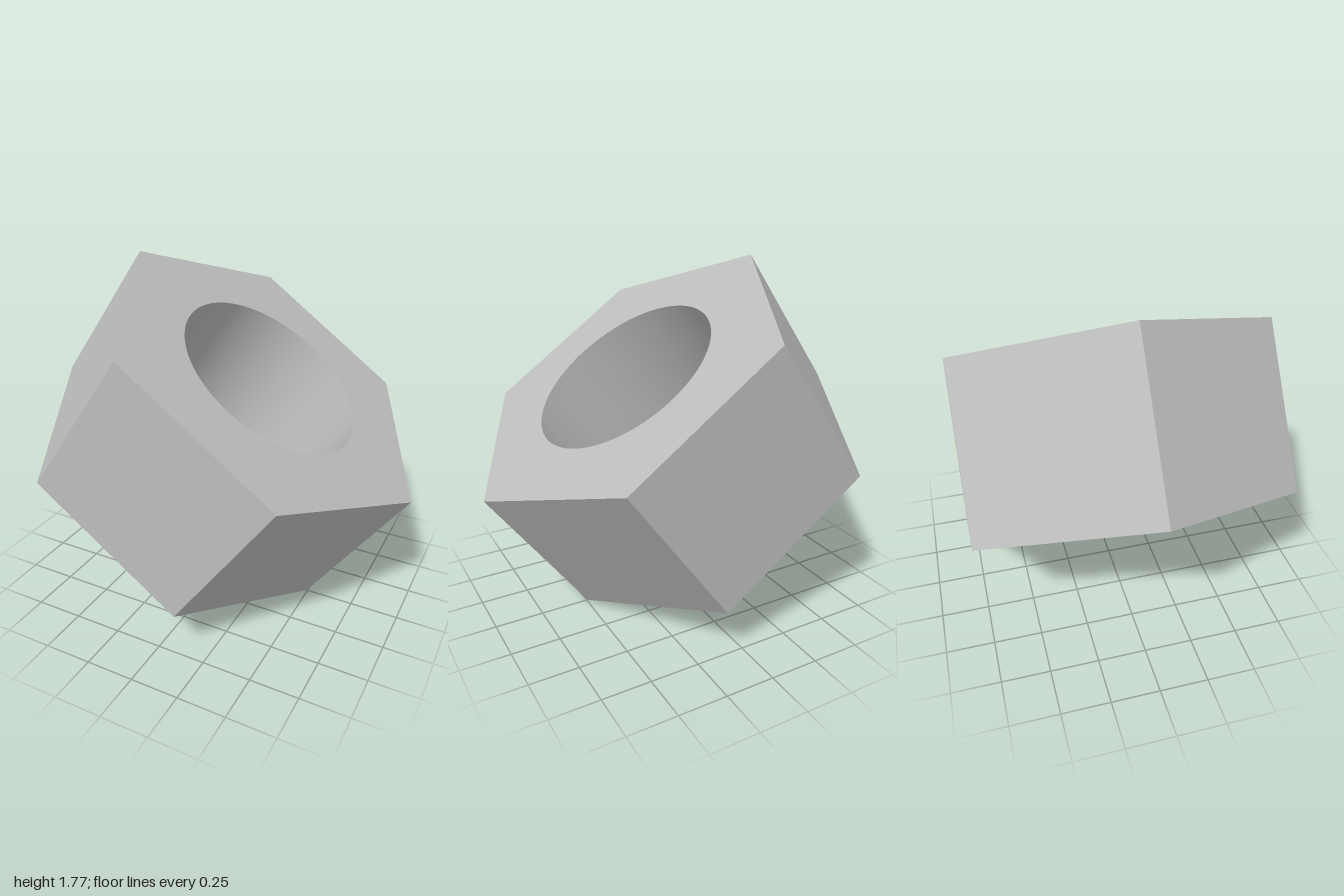
import * as THREE from 'three';
import { toCreasedNormals } from 'three/addons/utils/BufferGeometryUtils.js';

const RADIUS = 0.918; // centre to corner
const BORE = 0.497;
const HEIGHT = 0.87;
const TILT = THREE.MathUtils.degToRad(35.5);

export function createModel() {
  const model = new THREE.Group();
  model.name = 'hexNut';

  const steel = new THREE.MeshStandardMaterial({ color: 0xbcbcbc });
  steel.name = 'plain steel grey';

  // hexagonal outline with corners on the x axis
  const outline = new THREE.Shape();
  for (let i = 0; i < 6; i++) {
    const a = (i * Math.PI) / 3;
    const x = RADIUS * Math.cos(a), y = RADIUS * Math.sin(a);
    if (i === 0) outline.moveTo(x, y);
    else outline.lineTo(x, y);
  }
  outline.closePath();

  // round through-hole
  const bore = new THREE.Path();
  bore.absarc(0, 0, BORE, 0, Math.PI * 2, true);
  outline.holes.push(bore);

  // extruded upright, centred on its own middle; crisp edges, smooth bore
  let geometry = new THREE.ExtrudeGeometry(outline, {
    depth: HEIGHT, bevelEnabled: false, curveSegments: 48,
  });
  geometry.translate(0, 0, -HEIGHT / 2);
  geometry.rotateX(-Math.PI / 2);
  geometry = toCreasedNormals(geometry, Math.PI / 6);

  // nut balanced on one edge, bore leaning towards +x
  const nut = new THREE.Mesh(geometry, steel);
  nut.name = 'nutBody';
  nut.rotation.z = -TILT;
  nut.position.y = RADIUS * Math.sin(TILT) + (HEIGHT / 2) * Math.cos(TILT);
  model.add(nut);

  return model;
}
